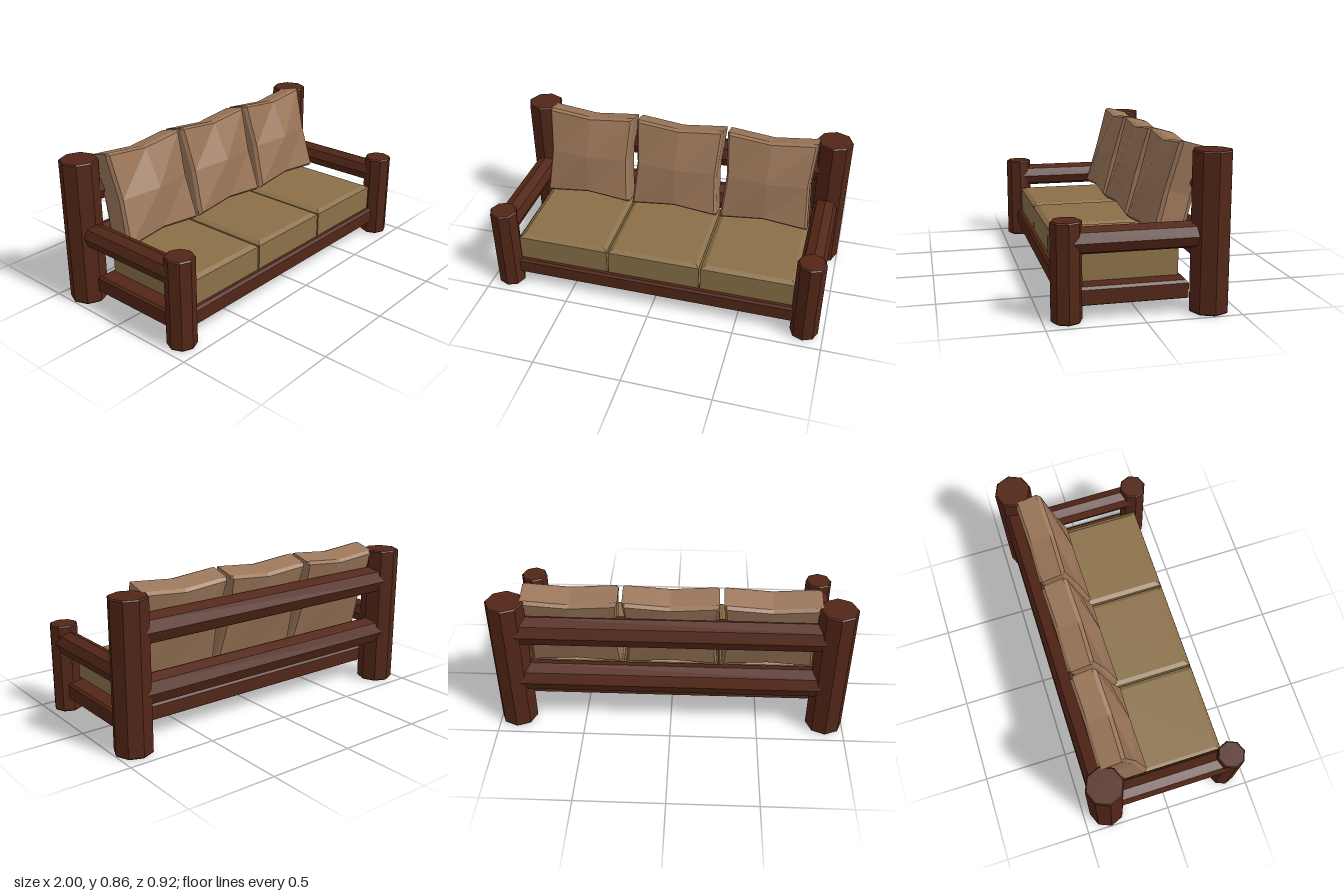
import * as THREE from 'three';

const mat = (color) => new THREE.MeshStandardMaterial({ color, flatShading: true });

export function createModel() {
  const sofa = new THREE.Group();
  sofa.name = 'logSofa';
  const wood = mat(0x522617);
  const seatCloth = mat(0x8a7048);
  const backCloth = mat(0x9a7558);

  const add = (name, geometry, material, x, y, z) => {
    const mesh = new THREE.Mesh(geometry, material);
    mesh.name = name;
    mesh.position.set(x, y, z);
    sofa.add(mesh);
    return mesh;
  };

  // Eight-sided upright log with slightly chamfered ends
  const post = (r, h, c = 0.007) => new THREE.LatheGeometry(
    [[0, 0], [r - c, 0], [r, c], [r, h - c], [r - c, h], [0, h]].map(([x, y]) => new THREE.Vector2(x, y)), 8);

  // Box whose top and bottom edges are chamfered; stands on y = 0
  const chamferBox = (w, h, d, topIn, topDrop, botIn, botRise) => {
    const g = new THREE.BoxGeometry(w, 3, d, 1, 3, 1);
    const p = g.attributes.position;
    const heights = [0, botRise, h - topDrop, h];
    const insets = [botIn, 0, 0, topIn];
    for (let i = 0; i < p.count; i++) {
      const k = Math.round(p.getY(i) + 1.5);
      p.setXYZ(i,
        Math.sign(p.getX(i)) * (w / 2 - insets[k]), heights[k],
        Math.sign(p.getZ(i)) * (d / 2 - insets[k]));
    }
    g.computeVertexNormals();
    return g;
  };

  // Pillow: bevelled rim, waisted sides and a faceted bulge
  const pillow = (w, h, t) => {
    const g = new THREE.BoxGeometry(4, 4, 2, 4, 4, 1);
    const p = g.attributes.position;
    const steps = [-1, -0.95, 0, 0.95, 1];
    for (let i = 0; i < p.count; i++) {
      const u = steps[Math.round(p.getX(i)) + 2];
      const v = steps[Math.round(p.getY(i)) + 2];
      const side = Math.sign(p.getZ(i));
      const rim = Math.abs(u) === 1 || Math.abs(v) === 1;
      const centre = u === 0 && v === 0;
      const bulge = rim ? -0.012 : centre ? (side > 0 ? 0.05 : 0.02) : 0.008;
      p.setXYZ(i,
        u * (w / 2 - (v === 0 ? 0.018 : 0)),
        v * (h / 2 - (u === 0 ? 0.025 : 0)),
        side * (t / 2 + bulge));
    }
    g.computeVertexNormals();
    return g;
  };

  // Posts and arm rails, mirrored
  for (const s of [1, -1]) {
    const label = s > 0 ? 'left' : 'right';
    add(label + 'BackPost', post(0.105, 0.83), wood, s * 0.895, 0, -0.355);
    add(label + 'FrontPost', post(0.08, 0.51), wood, s * 0.89, 0, 0.38);
    add(label + 'ArmRail', new THREE.CylinderGeometry(0.07, 0.07, 0.72, 8), wood, s * 0.89, 0.405, 0.01)
      .rotation.x = Math.PI / 2;
  }

  // Two logs across the back
  for (const [name, y] of [['upperBackRail', 0.645], ['lowerBackRail', 0.322]]) {
    add(name, new THREE.CylinderGeometry(0.084, 0.084, 1.76, 8), wood, 0, y, -0.357)
      .rotation.z = Math.PI / 2;
  }

  // Seat platform
  add('base', chamferBox(1.83, 0.095, 0.64, 0.012, 0.014, 0.008, 0.005), wood, 0, 0.078, 0.08);

  // Three seat and three back cushions
  const seat = chamferBox(0.537, 0.16, 0.585, 0.025, 0.016, 0, 0.02);
  const back = pillow(0.525, 0.526, 0.14);
  for (let i = -1; i <= 1; i++) {
    add('seatCushion', seat, seatCloth, i * 0.547, 0.172, 0.0775);
    add('backCushion', back, backCloth, i * 0.549, 0.592, -0.221).rotation.x = -0.27;
  }

  return sofa;
}
